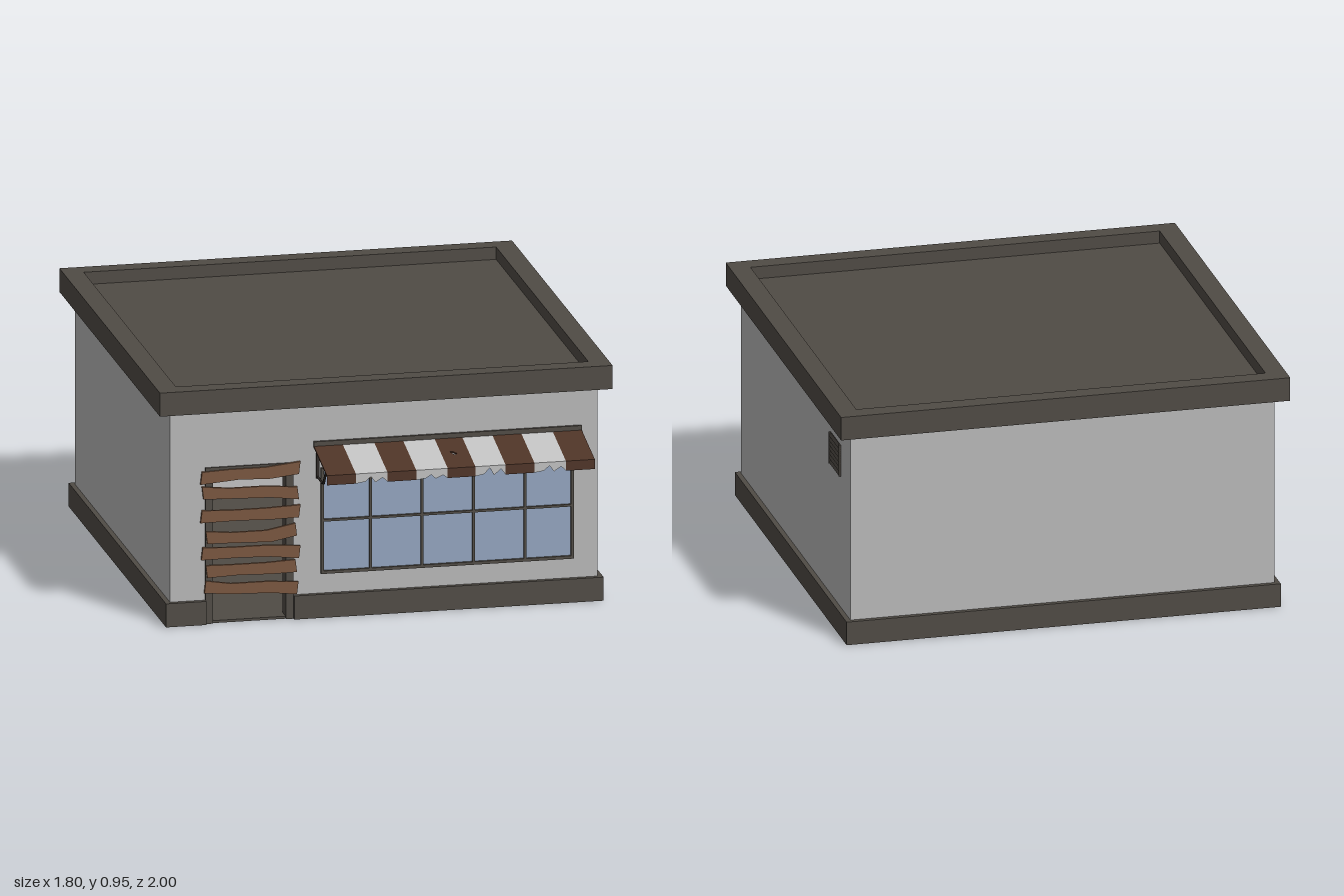
import * as THREE from 'three';

const mat = (name, color, side = THREE.FrontSide) => {
  const m = new THREE.MeshStandardMaterial({ color, side });
  m.name = name;
  return m;
};

export function createModel() {
  const wall = mat('wall grey', 0xb9b9b9);
  const inside = mat('interior grey', 0xc4c4c4);
  const trim = mat('dark trim', 0x504b45);
  const glass = mat('window glass', 0x94a6c0);
  const wood = mat('plank wood', 0x7a573f);
  const brown = mat('awning brown', 0x4f3427, THREE.DoubleSide);
  const white = mat('awning white', 0xc2c2c2, THREE.DoubleSide);
  const iron = mat('dark iron', 0x2e2926);

  const root = new THREE.Group();
  root.name = 'shop';
  const group = (name) => {
    const g = new THREE.Group();
    g.name = name;
    root.add(g);
    return g;
  };
  const add = (parent, name, geometry, material) => {
    const m = new THREE.Mesh(geometry, material);
    m.name = name;
    parent.add(m);
    return m;
  };
  // Box given by its lower and upper limits on each axis
  const box = (parent, name, material, x0, x1, y0, y1, z0, z1) => {
    const m = add(parent, name, new THREE.BoxGeometry(x1 - x0, y1 - y0, z1 - z0), material);
    m.position.set((x0 + x1) / 2, (y0 + y1) / 2, (z0 + z1) / 2);
    return m;
  };
  const shape = (pts) => new THREE.Shape(pts.map(([x, y]) => new THREE.Vector2(x, y)));
  const extrude = (s, depth) => new THREE.ExtrudeGeometry(s, { depth, bevelEnabled: false });

  // Walls, with the doorway cut out of the front
  const walls = group('walls');
  const doorL = -0.71, doorR = -0.36, doorTop = 0.63;
  const front = extrude(shape([[-0.85, 0.01], [doorL, 0.01], [doorL, doorTop], [doorR, doorTop],
    [doorR, 0.01], [0.85, 0.01], [0.85, 0.87], [-0.85, 0.87]]), 0.05);
  add(walls, 'frontWall', front, wall).position.z = 0.705;
  box(walls, 'backWall', wall, -0.85, 0.85, 0.01, 0.87, -0.95, -0.91);
  box(walls, 'backWallLining', inside, -0.81, 0.81, 0.01, 0.87, -0.91, -0.905);
  for (const s of [-1, 1]) {
    box(walls, 'sideWall', wall, s * 0.83 - 0.02, s * 0.83 + 0.02, 0.01, 0.87, -0.95, 0.755);
  }

  // Floor and plinth, open at the doorway
  const base = group('base');
  box(base, 'floor', trim, -0.87, 0.87, 0, 0.01, -0.97, 0.755);
  box(base, 'plinthFrontLeft', trim, doorR, 0.87, 0, 0.095, 0.735, 0.775);
  box(base, 'plinthFrontRight', trim, -0.87, doorL, 0, 0.095, 0.735, 0.775);
  box(base, 'plinthBack', trim, -0.87, 0.87, 0, 0.095, -0.97, -0.93);
  for (const s of [-1, 1]) {
    box(base, 'plinthSide', trim, s * 0.85 - 0.02, s * 0.85 + 0.02, 0, 0.095, -0.97, 0.775);
  }

  // Roof slab with raised parapet
  const roof = group('roof');
  box(roof, 'roofSlab', trim, -0.9, 0.9, 0.86, 0.905, -1, 0.8);
  const rim = shape([[-0.9, -0.8], [0.9, -0.8], [0.9, 1], [-0.9, 1]]);
  rim.holes.push(shape([[-0.82, -0.725], [-0.82, 0.925], [0.82, 0.925], [0.82, -0.725]]));
  add(roof, 'parapet', extrude(rim, 0.05).rotateX(-Math.PI / 2), trim).position.y = 0.905;

  // Door frame
  const door = group('doorFrame');
  box(door, 'doorPost', trim, doorL, doorL + 0.03, 0, doorTop, 0.7, 0.762);
  box(door, 'doorPost', trim, doorR - 0.03, doorR, 0, doorTop, 0.7, 0.762);
  box(door, 'doorLintel', trim, doorL, doorR, 0.6, doorTop, 0.7, 0.762);

  // Warped planks nailed across the door: left x, right x, left y, middle y, right y
  const planks = group('planks');
  [[-0.725, -0.34, 0.59, 0.598, 0.61], [-0.725, -0.34, 0.53, 0.522, 0.508],
    [-0.725, -0.34, 0.435, 0.433, 0.435], [-0.71, -0.348, 0.35, 0.343, 0.362],
    [-0.722, -0.34, 0.285, 0.283, 0.27], [-0.71, -0.348, 0.212, 0.213, 0.215],
    [-0.71, -0.348, 0.15, 0.137, 0.125]].forEach(([x0, x1, yl, ym, yr], i) => {
    const h = 0.025, k = i % 2 ? 0.006 : -0.006, mx = (x0 + x1) / 2;
    const s = shape([[x0 + k, yl - h], [mx - 0.05, ym - h + 0.004], [mx + 0.08, ym - h],
      [x1, yr - h], [x1 - k, yr + h], [mx + 0.06, ym + h - 0.003], [mx - 0.08, ym + h - 0.003],
      [x0, yl + h]]);
    add(planks, 'plank', extrude(s, 0.012), wood).position.z = 0.757;
  });

  // Shop window with glazing bars
  const win = group('window');
  box(win, 'glass', glass, -0.25, 0.75, 0.18, 0.6, 0.752, 0.758);
  const bar = (x0, x1, y0, y1) => box(win, 'windowBar', trim, x0, x1, y0, y1, 0.752, 0.768);
  bar(-0.25, 0.75, 0.175, 0.187);
  bar(-0.25, 0.75, 0.59, 0.602);
  bar(-0.25, 0.75, 0.386, 0.395);
  bar(-0.252, -0.24, 0.175, 0.602);
  bar(0.742, 0.754, 0.175, 0.602);
  for (const x of [-0.055, 0.15, 0.355, 0.56]) bar(x - 0.005, x + 0.005, 0.187, 0.59);

  // Striped awning: sloping cloth and a hanging valance, torn on the white stripes
  const awning = group('awning');
  const slope = Math.atan2(0.055, 0.245), len = 0.25;
  const edges = [-0.28, -0.165, -0.04, 0.075, 0.2, 0.31, 0.43, 0.545, 0.67, 0.785];
  for (let i = 0; i < 9; i++) {
    const a = edges[i], b = edges[i + 1], w = b - a, m = i % 2 ? white : brown;
    const cloth = shape([[a, -len], [b, -len], [b, 0], [a, 0]]);
    if (i === 4) cloth.holes.push(shape([[0.235, -0.115], [0.25, -0.145], [0.262, -0.135], [0.25, -0.12]]));
    add(awning, 'awningStripe', extrude(cloth, 0.006).rotateX(slope - Math.PI / 2), m)
      .position.set(0, 0.688, 0.755);
    const t = i % 2 ? 0.014 + 0.005 * (i % 3) : 0;
    const flap = shape([[a, 0.638], [a, 0.6], [a + w * 0.3, 0.6 + t * 0.3], [a + w * 0.48, 0.6 + t * 1.3],
      [a + w * 0.62, 0.6], [a + w * 0.85, 0.6 + t], [b, 0.6], [b, 0.638]]);
    add(awning, 'valance', extrude(flap, 0.004), m).position.z = 0.996;
  }
  box(awning, 'awningRail', trim, -0.28, 0.785, 0.69, 0.71, 0.75, 0.766);

  // Bent support arms and their wall plates
  const arm = new THREE.CurvePath();
  const joints = [[0.755, 0.565], [0.86, 0.565], [0.925, 0.652]].map(([z, y]) => new THREE.Vector3(0, y, z));
  for (let i = 0; i < 2; i++) arm.add(new THREE.LineCurve3(joints[i], joints[i + 1]));
  for (const x of [-0.263, 0.768]) {
    add(awning, 'supportArm', new THREE.TubeGeometry(arm, 16, 0.005, 6), iron).position.x = x;
    box(awning, 'armPlate', iron, x - 0.006, x + 0.006, 0.56, 0.69, 0.75, 0.762);
  }

  // Louvred vent on the left wall
  const vent = group('vent');
  box(vent, 'ventBack', iron, 0.845, 0.852, 0.635, 0.765, -0.8, -0.64);
  for (const z of [-0.8, -0.648]) box(vent, 'ventSide', trim, 0.845, 0.858, 0.635, 0.765, z, z + 0.008);
  for (let i = 0; i < 7; i++) {
    const slat = box(vent, 'ventSlat', trim, 0.849, 0.855, 0.637 + i * 0.0185, 0.653 + i * 0.0185, -0.795, -0.645);
    slat.rotation.z = 0.35;
  }
  return root;
}
